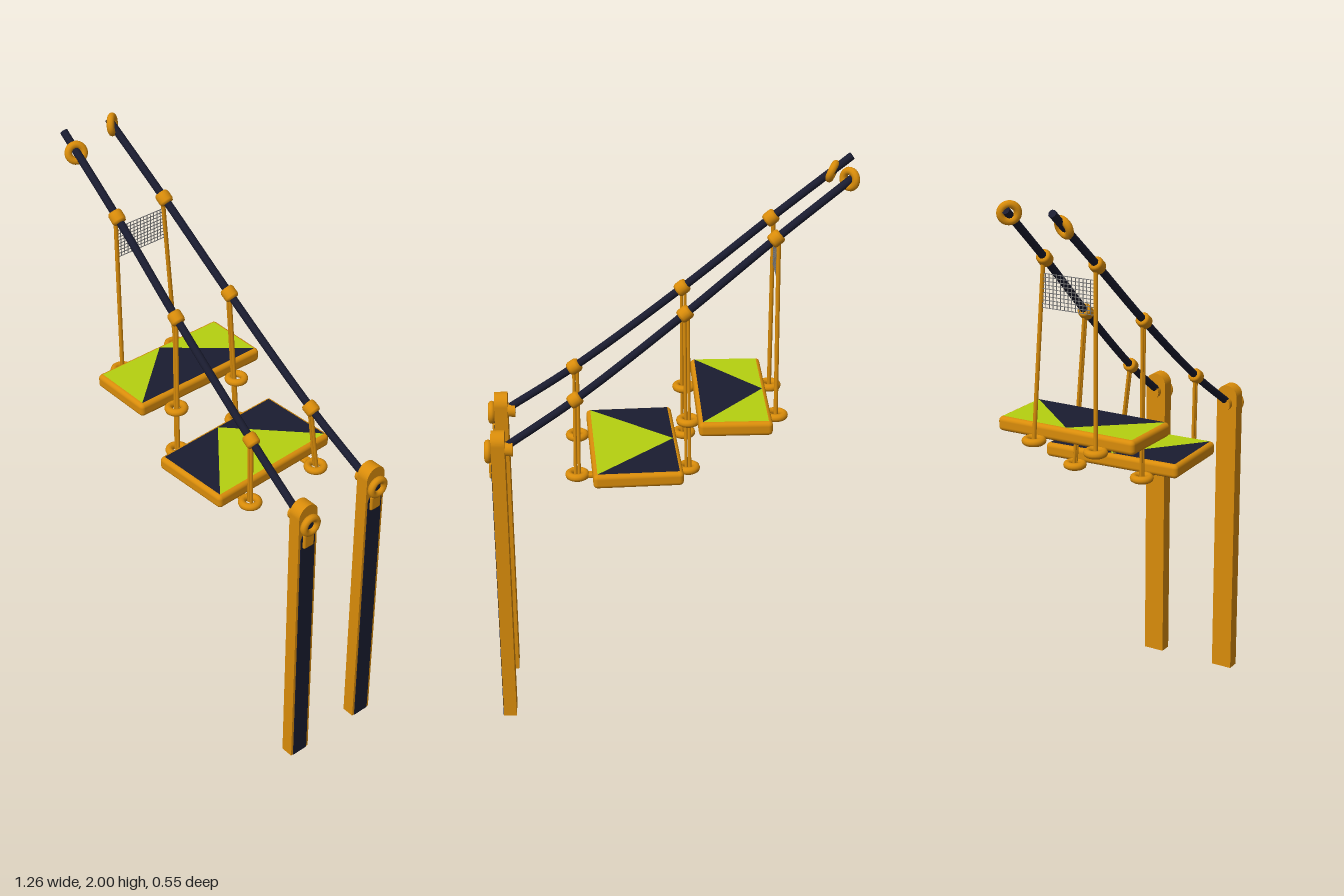
import * as THREE from 'three';
import { RoundedBoxGeometry } from 'three/addons/geometries/RoundedBoxGeometry.js';

const mat = (color) => new THREE.MeshStandardMaterial({ color, side: THREE.DoubleSide });
const V = (x, y, z) => new THREE.Vector3(x, y, z);

export function createModel() {
  const root = new THREE.Group();
  const orange = mat(0xd98c0a), dark = mat(0x1a1c30), lime = mat(0xb5d010), wire = mat(0x777777);

  function add(parent, name, geometry, material, x = 0, y = 0, z = 0) {
    const m = new THREE.Mesh(geometry, material);
    m.name = name;
    m.position.set(x, y, z);
    parent.add(m);
    return m;
  }
  // turn a mesh so its local axis follows a direction
  const aim = (m, from, dir) => m.quaternion.setFromUnitVectors(from, dir.clone().normalize());
  function rod(parent, name, a, b, r, material, sides = 10) {
    const d = b.clone().sub(a), c = a.clone().add(b).multiplyScalar(0.5);
    aim(add(parent, name, new THREE.CylinderGeometry(r, r, d.length(), sides), material, c.x, c.y, c.z), V(0, 1, 0), d);
  }
  // stadium-like post outline in (z, y), square at the ground and round at the top
  function postShape(half, bottom, top) {
    const s = new THREE.Shape();
    s.moveTo(-half, bottom);
    s.lineTo(half, bottom);
    s.lineTo(half, top - half);
    s.absarc(0, top - half, half, 0, Math.PI, false);
    s.closePath();
    return s;
  }
  function flatPanel(parent, name, points, y, material) {
    const g = new THREE.ShapeGeometry(new THREE.Shape(points.map(([x, z]) => new THREE.Vector2(x, -z))));
    g.rotateX(-Math.PI / 2);
    add(parent, name, g, material, 0, y, 0);
  }

  // Each side: rope path (top end, three clamps, post) and the hanging points below
  const sides = [
    { name: 'front', postZ: 0.145, ropeEnd: V(-0.62, 1.975, 0.155),
      clamps: [V(-0.357, 1.767, 0.148), V(-0.058, 1.52, 0.146), V(0.318, 1.232, 0.143)],
      hangZ: [0.145, 0.145, 0.14], ring: V(-0.56, 1.925, 0.155), ringAxis: V(0.9, 0.35, 0.35) },
    { name: 'back', postZ: -0.156, ropeEnd: V(-0.607, 1.965, -0.022),
      clamps: [V(-0.355, 1.767, -0.05), V(-0.056, 1.52, -0.083), V(0.315, 1.232, -0.124)],
      hangZ: [-0.095, -0.125, -0.158], ring: V(-0.592, 1.957, -0.022), ringAxis: V(0.75, 0.1, -0.66) },
  ];
  const hangX = [-0.366, -0.066, 0.313];
  const ringLevels = [[1.147], [1.147, 0.967], [0.967]];

  for (const s of sides) {
    // Post with a dark face strip
    const post = new THREE.Group();
    post.name = s.name + 'Post';
    post.position.set(0.555, 0, s.postZ);
    root.add(post);
    const body = new THREE.ExtrudeGeometry(postShape(0.04, 0, 1.135), { depth: 0.046, bevelEnabled: false, curveSegments: 16 });
    body.rotateY(Math.PI / 2);
    add(post, 'postBody', body, orange);
    const strip = new THREE.ExtrudeGeometry(postShape(0.031, 0, 1.03), { depth: 0.002, bevelEnabled: false });
    strip.rotateY(Math.PI / 2);
    add(post, 'postStrip', strip, dark, 0.046);

    // Rope anchor: eye ring outside, collar inside, short tab below
    add(post, 'anchorRing', new THREE.TorusGeometry(0.028, 0.013, 10, 24), orange, 0.057, 1.06).rotation.y = Math.PI / 2;
    add(post, 'anchorHole', new THREE.CylinderGeometry(0.018, 0.018, 0.012, 16), dark, 0.05, 1.06).rotation.z = Math.PI / 2;
    add(post, 'anchorTab', new RoundedBoxGeometry(0.02, 0.06, 0.046, 2, 0.008), orange, 0.046, 0.995);
    add(post, 'anchorCollar', new THREE.CylinderGeometry(0.026, 0.023, 0.03, 16), orange, -0.011, 1.068).rotation.z = Math.PI / 2;

    // Main rope, sagging slightly through its clamps
    const curve = new THREE.CatmullRomCurve3([s.ropeEnd, ...s.clamps, V(0.57, 1.064, s.postZ + 0.002)]);
    add(root, s.name + 'Rope', new THREE.TubeGeometry(curve, 40, 0.0135, 10), dark);
    rod(root, s.name + 'RopeEnd', s.ropeEnd.clone().add(V(-0.004, 0.003, 0)), s.ropeEnd.clone().add(V(0.008, -0.006, 0)), 0.0135, dark);
    const ring = add(root, s.name + 'EndRing', new THREE.TorusGeometry(0.027, 0.013, 10, 24), orange, s.ring.x, s.ring.y, s.ring.z);
    aim(ring, V(0, 0, 1), s.ringAxis);

    s.clamps.forEach((c, i) => {
      // Clamp on the rope
      const next = i < 2 ? s.clamps[i + 1] : V(0.57, 1.064, s.postZ);
      const clamp = add(root, s.name + 'Clamp', new THREE.LatheGeometry(
        [[0.012, -0.022], [0.021, -0.021], [0.025, -0.013], [0.025, 0.013], [0.021, 0.021], [0.012, 0.022]]
          .map(([r, y]) => new THREE.Vector2(r, y)), 16), orange, c.x, c.y, c.z);
      aim(clamp, V(0, 1, 0), next.clone().sub(c));

      // Paired hanger cords down to the eye rings
      const x = hangX[i], z = s.hangZ[i], low = Math.min(...ringLevels[i]);
      const offset = i === 0 ? [0] : [-0.006, 0.006];
      for (const o of offset) {
        rod(root, s.name + 'Hanger', V(c.x + o - (i === 0 ? 0.009 : 0.004), c.y, c.z), V(x + o, low, z), i === 0 ? 0.0075 : 0.006, orange, 8);
      }
      for (const y of ringLevels[i]) {
        add(root, s.name + 'EyeRing', new THREE.TorusGeometry(0.028, 0.0135, 10, 24), orange, x, y, z).rotation.x = Math.PI / 2;
        // Tab reaching under the platform edge
        const toward = i === 0 || (i === 1 && y < 1) ? 1 : -1;
        add(root, s.name + 'RingTab', new RoundedBoxGeometry(0.055, 0.016, 0.03, 2, 0.006), orange, x + toward * 0.058, y - 0.002, z);
      }
    });
  }

  // Platforms: rounded frame, two-colour top, dark underside
  function platform(name, x, y, z, w, d, turn, base, wedge) {
    const g = new THREE.Group();
    g.name = name;
    g.position.set(x, y, z);
    g.rotation.y = turn;
    root.add(g);
    const h = 0.05, a = w / 2 - 0.014, b = d / 2 - 0.014;
    add(g, 'platformFrame', new RoundedBoxGeometry(w, h, d, 3, 0.015), orange);
    const t = h / 2 + 0.001;
    flatPanel(g, 'topWedge', [[-a, 0], [a, b], [a, -b]], t, wedge);
    for (const k of [-1, 1]) flatPanel(g, 'topCorner', [[-a, 0], [-a, k * b], [a, k * b]], t, base);
    flatPanel(g, 'underside', [[-a, -b], [-a, b], [a, b], [a, -b]], -t, dark);
  }
  platform('upperPlatform', -0.218, 1.172, 0.007, 0.247, 0.53, 0, lime, dark);
  platform('lowerPlatform', 0.117, 0.992, -0.008, 0.305, 0.52, 0.042, dark, lime);

  // Wire net between the highest hangers
  const net = new THREE.Group();
  net.name = 'wireNet';
  root.add(net);
  const zA = 0.143, zB = -0.055, yA = 1.607, yB = 1.72, nx = 14, ny = 9, r = 0.0022;
  for (let i = 0; i <= nx; i++) {
    const z = zA + (zB - zA) * i / nx;
    add(net, 'netUpright', new THREE.BoxGeometry(r, yB - yA, r), wire, -0.367, (yA + yB) / 2, z);
  }
  for (let j = 0; j <= ny; j++) {
    add(net, 'netCross', new THREE.BoxGeometry(r, r, zA - zB), wire, -0.367, yA + (yB - yA) * j / ny, (zA + zB) / 2);
  }
  return root;
}
